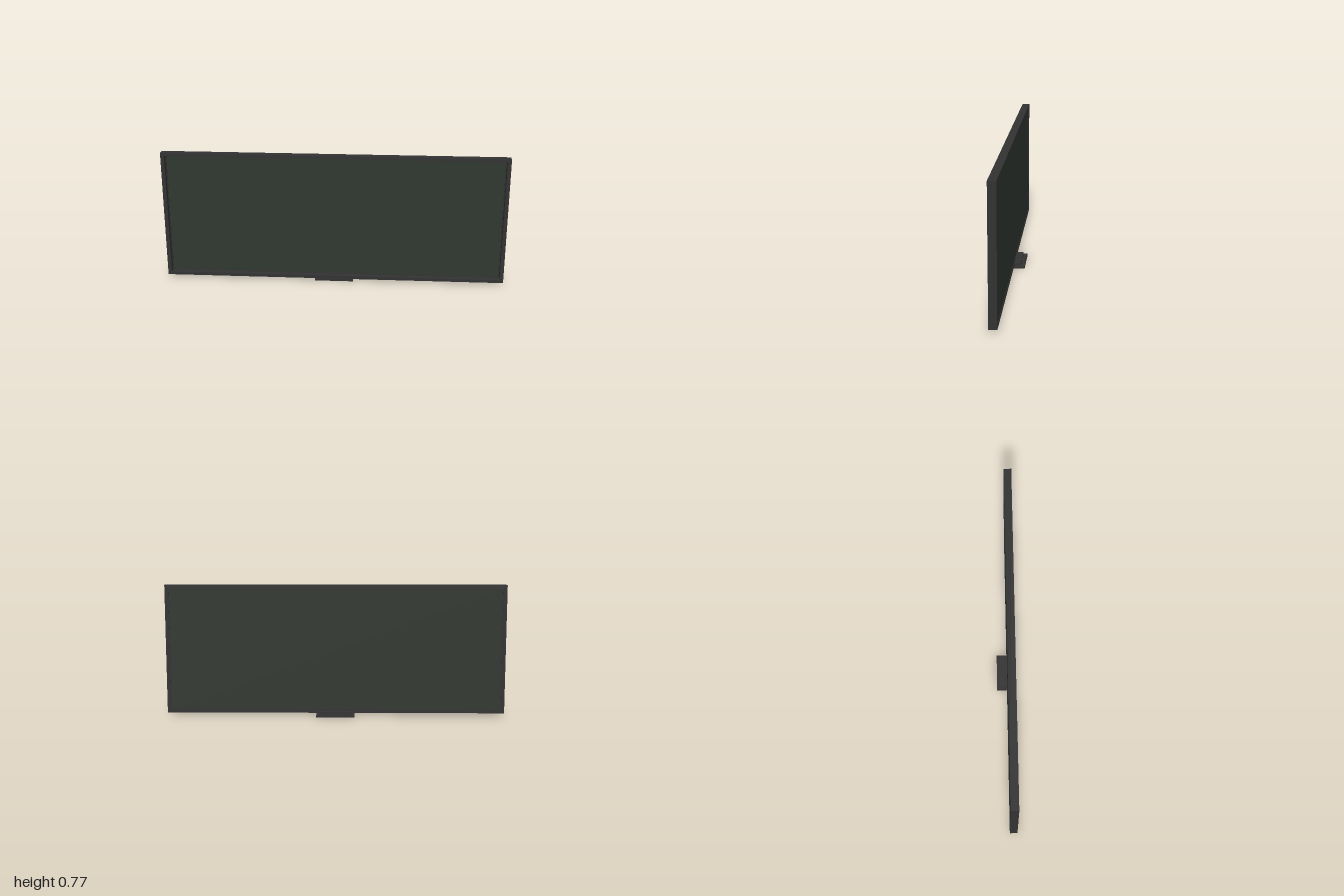
import * as THREE from 'three';

const frameMat = new THREE.MeshStandardMaterial({ color: 0x323232 });
frameMat.name = 'charcoal frame';
const paneMat = new THREE.MeshStandardMaterial({ color: 0x2f362f });
paneMat.name = 'dark green pane';

const BOTTOM = 0.015, TOP = 0.775, BACK = 0.008, FRONT = 0.053;

function box(name, mat, x0, x1, y0, y1, z0, z1) {
  const mesh = new THREE.Mesh(new THREE.BoxGeometry(x1 - x0, y1 - y0, z1 - z0), mat);
  mesh.position.set((x0 + x1) / 2, (y0 + y1) / 2, (z0 + z1) / 2);
  mesh.name = name;
  return mesh;
}

// Rectangular ring, inset from the outer edges of the panel
function ring(name, outer, inner, z0, z1) {
  const corners = ([sx, sy]) => [
    [-1 + sx, BOTTOM + sy], [1 - sx, BOTTOM + sy], [1 - sx, TOP - sy], [-1 + sx, TOP - sy],
  ].map(([x, y]) => new THREE.Vector2(x, y));
  const shape = new THREE.Shape(corners(outer));
  shape.holes.push(new THREE.Path(corners(inner).reverse()));
  const geo = new THREE.ExtrudeGeometry(shape, { depth: z1 - z0, bevelEnabled: false });
  const mesh = new THREE.Mesh(geo, frameMat);
  mesh.position.z = z0;
  mesh.name = name;
  return mesh;
}

export function createModel() {
  const model = new THREE.Group();
  model.name = 'framedPanel';

  // Deep frame with a narrow stepped bead that holds the pane
  model.add(ring('frame', [0, 0], [0.022, 0.018], BACK, FRONT));
  model.add(ring('paneBead', [0.022, 0.018], [0.026, 0.022], BACK + 0.002, BACK + 0.012));

  // Pane set close to the back of the frame
  model.add(box('pane', paneMat, -0.978, 0.978, BOTTOM + 0.018, TOP - 0.018, BACK + 0.003, BACK + 0.008));

  // Foot under the middle of the frame, projecting behind it
  const foot = new THREE.Group();
  foot.name = 'foot';
  foot.add(box('footPlate', frameMat, -0.113, 0.113, 0, 0.0135, -0.053, FRONT));
  for (const s of [-1, 1]) {
    const a = s * 0.005, b = s * 0.097;
    foot.add(box('footBlock', frameMat, Math.min(a, b), Math.max(a, b), 0.0135, 0.028, -0.03, BACK));
  }
  foot.add(box('footBridge', frameMat, -0.005, 0.005, 0.0135, 0.023, -0.028, BACK));
  foot.add(box('footRidge', frameMat, -0.07, 0.07, 0.0135, 0.017, -0.044, -0.034));
  model.add(foot);

  return model;
}
